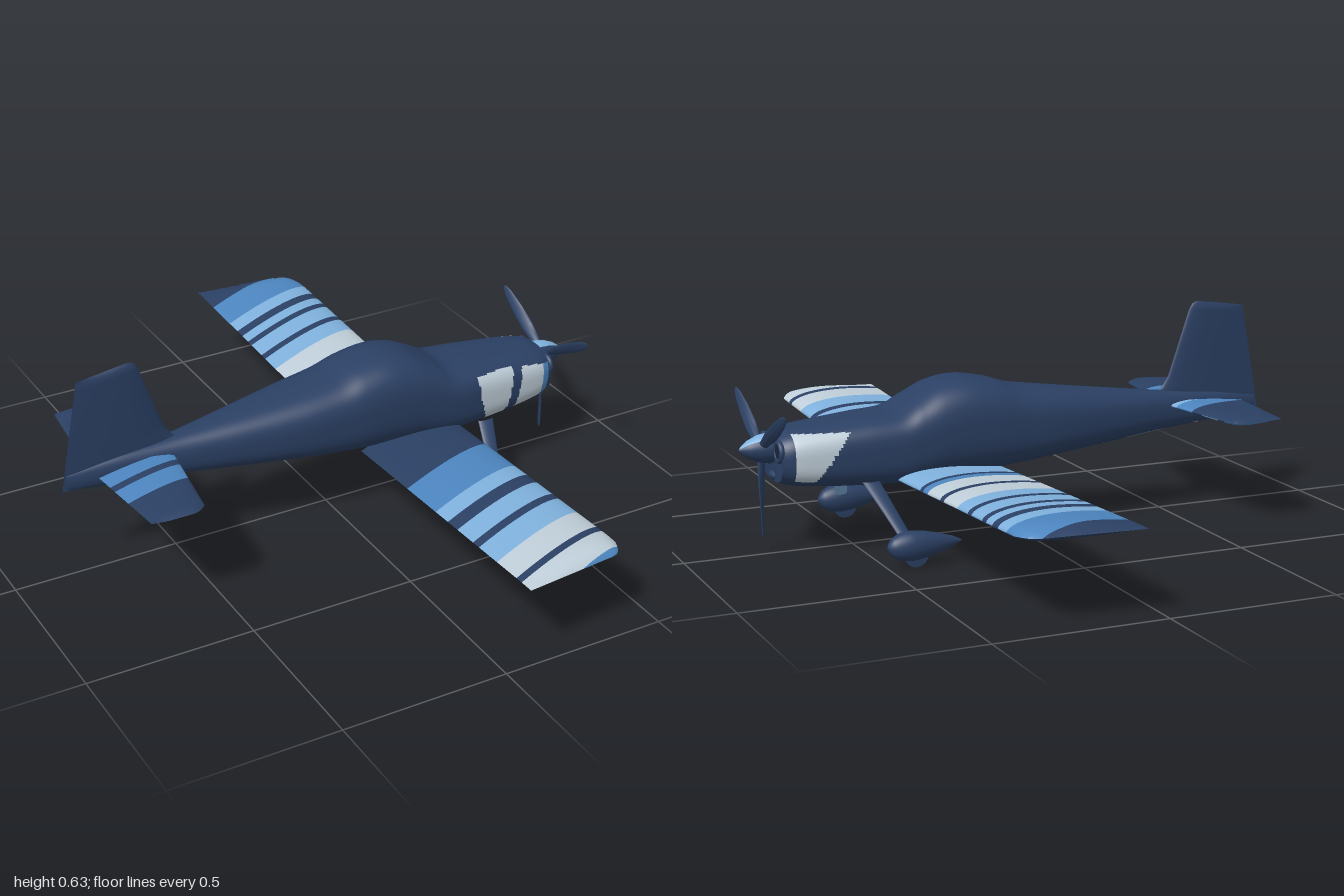
import * as THREE from 'three';

const paint = (name, color) => Object.assign(new THREE.MeshStandardMaterial({ color }), { name });
const NAVY = 0, BLUE = 1, SKY = 2, SILVER = 3;
const mats = [
  paint('navy', 0x2b4064), paint('blue', 0x4d86c0),
  paint('skyBlue', 0x80b2de), paint('silver', 0xc0cfda),
];
const shadowMat = paint('inletShadow', 0x1a2436);
const V = (x, y, z) => new THREE.Vector3(x, y, z);

// Skin rows of points; pick(i, j, centre) gives the colour index of each quad
function loft(name, rows, pick = () => NAVY, flip = false) {
  const n = rows[0].length, index = mats.map(() => []);
  for (let i = 0; i < rows.length - 1; i++) {
    for (let j = 0; j < n - 1; j++) {
      const a = i * n + j, b = a + n, mid = V(0, 0, 0);
      for (const p of [rows[i][j], rows[i + 1][j], rows[i][j + 1], rows[i + 1][j + 1]]) mid.addScaledVector(p, 0.25);
      const q = flip ? [a, b + 1, b, a, a + 1, b + 1] : [a, b, b + 1, a, b + 1, a + 1];
      index[pick(i, j, mid)].push(...q);
    }
  }
  const geo = new THREE.BufferGeometry().setFromPoints(rows.flat());
  geo.setIndex(index.flat());
  let start = 0;
  index.forEach((list, m) => {
    if (list.length) geo.addGroup(start, list.length, m);
    start += list.length;
  });
  geo.computeVertexNormals();
  const mesh = new THREE.Mesh(geo, mats);
  mesh.name = name;
  return mesh;
}

// Closed superellipse ring in the yz plane
function ringYZ(x, y, z, hy, hz, e = 2, n = 32) {
  const f = v => Math.sign(v) * Math.abs(v) ** (2 / e);
  return Array.from({ length: n + 1 }, (_, j) => {
    const a = (j / n) * Math.PI * 2 - Math.PI / 2;
    return V(x, y + hy * f(Math.sin(a)), z + hz * f(Math.cos(a)));
  });
}

// Airfoil thickness, t = 0 at the leading edge
const foil = t => 2.6 * Math.sqrt(t) * (1 - t) + 0.06 * t;
const HALF = 14;
const chordT = j => 1 - Math.cos((Math.abs(j - HALF) / HALF) * Math.PI / 2);

// Wing or tailplane half, cut along slanted colour bands: [outer edge, top, bottom]
function panel(name, side, o) {
  const edges = [], cols = [];
  let prev = o.start;
  for (const [edge, top, bottom] of o.bands) {
    const steps = Math.max(1, Math.ceil((edge - prev) / 0.02));
    for (let s = 0; s < steps; s++) {
      edges.push(prev + (edge - prev) * s / steps);
      cols.push([top, bottom]);
    }
    prev = edge;
  }
  edges.push(prev);
  const rows = edges.map(c => Array.from({ length: 2 * HALF + 1 }, (_, j) => {
    const t = chordT(j);
    let z = Math.max(0, c), x = 0;
    for (let k = 0; k < 4; k++) {
      x = THREE.MathUtils.lerp(o.le(z), o.te(z), t);
      z = Math.max(o.root(x), Math.min(c + o.slant * (x - o.x0), o.tip(x)));
    }
    const round = Math.sqrt(Math.min(1, Math.max(0, (o.tip(x) - z) / o.taper)));
    const h = foil(t) * round * (j < HALF ? o.up : -o.down);
    return V(x, o.y(z) + h, side * z);
  }));
  return loft(name, rows, (i, j) => cols[i][j < HALF ? 0 : 1], side < 0);
}

function fuselage() {
  // x, bottom, top, half width, squareness
  const st = [
    [-0.825, 0.276, 0.325, 0.006, 2], [-0.68, 0.262, 0.35, 0.026, 2.2], [-0.5, 0.248, 0.366, 0.05, 2.4],
    [-0.3, 0.228, 0.39, 0.088, 2.6], [-0.12, 0.211, 0.413, 0.118, 2.8], [0, 0.2, 0.431, 0.13, 2.9],
    [0.08, 0.192, 0.456, 0.137, 2.8], [0.17, 0.186, 0.47, 0.14, 2.7], [0.25, 0.182, 0.457, 0.141, 2.7],
    [0.32, 0.18, 0.422, 0.14, 2.9], [0.38, 0.18, 0.391, 0.139, 3.1], [0.48, 0.184, 0.382, 0.133, 3.1],
    [0.6, 0.191, 0.371, 0.122, 3], [0.69, 0.2, 0.362, 0.11, 2.8], [0.735, 0.212, 0.35, 0.096, 2.6],
  ];
  const a = new THREE.CatmullRomCurve3(st.map(s => V(s[0], s[1], s[2])), false, 'catmullrom', 0.5);
  const b = new THREE.CatmullRomCurve3(st.map(s => V(s[0], s[3], s[4])), false, 'catmullrom', 0.5);
  const rows = [], N = 250, R = 112;
  for (let i = 0; i <= N; i++) {
    const p = a.getPoint(i / N), q = b.getPoint(i / N);
    rows.push(ringYZ(p.x, (p.y + p.z) / 2, 0, (p.z - p.y) / 2, Math.max(q.y, 0.004), q.z, R));
  }
  const end = rows[N];
  rows.push(end.map(p => p.clone()), end.map(() => V(0.737, 0.28, 0)));
  rows.unshift(rows[0].map(() => V(-0.825, 0.3, 0)), rows[0].map(p => p.clone()));
  return loft('fuselage', rows, (i, j, { x, y, z }) => {
    const drop = 0.355 - y;
    // Cowl side patches
    if (y > 0.205 + Math.max(0, x - 0.5) * 0.1 && Math.abs(z) > 0.06) {
      const stripe = x - 0.605 + drop * 0.2;
      const ceiling = 0.357 - Math.max(0, x - 0.56) * 0.18;
      if (z > 0 && y < ceiling && x > 0.455 + drop * drop * 1.6 && x < 0.73 - drop * 0.1) {
        if (Math.abs(stripe) < 0.017) return NAVY;
        return x > 0.707 - drop * 0.1 ? BLUE : SILVER;
      }
      if (z < 0 && drop > 0 && x > 0.54 + drop * 0.75 && x < 0.7) return SILVER;
    }
    // Striped belly
    if (x > -0.62 && x < 0.08 && y < rows[i][0].y + 0.006) {
      return (z + 0.3 * x + 1) % 0.1 < 0.028 ? NAVY : SILVER;
    }
    return NAVY;
  });
}

function fin() {
  // y at the trailing edge, trailing x, leading x, half thickness, rise of the chord
  const st = [
    [0.276, -0.84, -0.5, 0.011, -0.03], [0.35, -0.827, -0.46, 0.012, 0], [0.372, -0.823, -0.5, 0.012, 0],
    [0.41, -0.816, -0.525, 0.012, 0], [0.5, -0.8, -0.56, 0.012, 0.05], [0.585, -0.784, -0.593, 0.011, 0.12],
    [0.602, -0.781, -0.604, 0.008, 0.13], [0.61, -0.78, -0.62, 0, 0.14],
  ];
  return loft('verticalFin', st.map(([y, te, le, h, s]) =>
    Array.from({ length: 2 * HALF + 1 }, (_, j) => {
      const t = chordT(j), x = THREE.MathUtils.lerp(le, te, t);
      return V(x, y + s * (x - te), foil(t) * h * (j < HALF ? 1 : -1));
    })), undefined, true);
}

function propeller() {
  const g = new THREE.Group();
  g.name = 'propeller';
  // radius, half chord, half thickness, twist
  const st = [[0.01, 0.012, 0.011, -0.9], [0.05, 0.014, 0.009, -0.85], [0.1, 0.019, 0.006, -0.7],
    [0.17, 0.019, 0.004, -0.5], [0.235, 0.014, 0.003, -0.35], [0.258, 0.008, 0.002, -0.3], [0.265, 0, 0, -0.3]];
  for (let k = 0; k < 3; k++) {
    const blade = loft('propellerBlade', st.map(([r, c, h, tw]) => Array.from({ length: 17 }, (_, j) => {
      const a = j / 16 * Math.PI * 2, u = h * Math.cos(a), w = c * Math.sin(a);
      return V(u * Math.cos(tw) - w * Math.sin(tw), r, u * Math.sin(tw) + w * Math.cos(tw));
    })));
    blade.rotation.x = Math.PI + k * Math.PI * 2 / 3;
    g.add(blade);
  }
  // Spinner with a light wedge on top
  const spin = [[0, 0.725], [0.042, 0.728], [0.044, 0.745], [0.039, 0.775], [0.026, 0.805], [0.01, 0.826], [0, 0.832]];
  g.add(loft('spinner', spin.map(([r, x]) => ringYZ(x - 0.768, 0, 0, r, r)),
    (i, j) => (j >= 13 && j < 20 ? SKY : NAVY)));
  g.position.set(0.768, 0.307, 0);
  return g;
}

function landingGear(side) {
  const g = new THREE.Group();
  g.name = side > 0 ? 'leftLandingGear' : 'rightLandingGear';
  const pant = [[0.28, 0.002], [0.31, 0.016], [0.35, 0.028], [0.39, 0.038], [0.43, 0.043],
    [0.465, 0.039], [0.487, 0.027], [0.498, 0.013], [0.502, 0]];
  g.add(loft('wheelFairing', pant.map(([x, r]) => ringYZ(x, 0.06, side * 0.29, r, r * 0.86))));
  const wheel = new THREE.Mesh(new THREE.CylinderGeometry(0.036, 0.036, 0.026, 28).rotateX(Math.PI / 2), mats[NAVY]);
  wheel.name = 'wheel';
  wheel.position.set(0.42, 0.036, side * 0.29);
  g.add(wheel);
  // Leg from belly to fairing
  const path = [[0.485, 0.21, 0.12, 0.026], [0.46, 0.14, 0.2, 0.021], [0.435, 0.07, 0.275, 0.018]];
  g.add(loft('gearLeg', path.map(([x, y, z, w]) => Array.from({ length: 17 }, (_, j) => {
    const a = j / 16 * Math.PI * 2;
    return V(x + w * Math.cos(a), y, side * z + 0.01 * Math.sin(a));
  })), (i, j) => (side > 0 && j >= 8 ? SKY : NAVY), true));
  return g;
}

export function createModel() {
  const model = new THREE.Group();
  model.name = 'lightAircraft';
  model.add(fuselage(), fin(), propeller());

  // Wings
  const wing = {
    le: () => 0.4, te: () => 0.065, root: () => 0, x0: 0.065, taper: 0.05, up: 0.026, down: 0.017,
    y: z => 0.198 + 0.048 * z,
    tip: x => 1 - 0.11 * (x - 0.065) - 0.055 * Math.max(0, (x - 0.35) / 0.05) ** 2.5,
  };
  model.add(panel('leftWing', 1, { ...wing, slant: -0.3, start: 0.1, bands: [
    [0.21, NAVY, SILVER], [0.24, NAVY, NAVY], [0.34, NAVY, SILVER], [0.365, NAVY, NAVY], [0.46, BLUE, SILVER],
    [0.485, BLUE, NAVY], [0.52, BLUE, SILVER], [0.585, SKY, SILVER], [0.635, NAVY, NAVY], [0.715, SKY, SILVER],
    [0.745, NAVY, NAVY], [0.835, SKY, SILVER], [0.93, SILVER, SILVER], [0.955, NAVY, NAVY],
    [1.035, SILVER, SILVER], [1.12, BLUE, BLUE]] }));
  model.add(panel('rightWing', -1, { ...wing, slant: 0.3, start: 0, bands: [
    [0.18, SKY, NAVY], [0.2, NAVY, NAVY], [0.235, BLUE, NAVY], [0.325, SILVER, NAVY], [0.35, NAVY, NAVY],
    [0.445, SILVER, NAVY], [0.515, SKY, NAVY], [0.54, NAVY, NAVY], [0.61, SKY, NAVY], [0.635, NAVY, NAVY],
    [0.675, SKY, NAVY], [0.71, NAVY, NAVY], [0.765, SKY, NAVY], [0.885, BLUE, NAVY], [1.02, NAVY, NAVY]] }));

  // Tailplanes
  const tail = {
    le: z => -0.505 - 0.15 * z, te: z => -0.755 + 0.1 * z, x0: -0.75, taper: 0.02, up: 0.011, down: 0.011,
    y: () => 0.325, root: x => 0.055 - 0.12 * (x + 0.75),
    tip: x => 0.348 - 0.5 * Math.max(0, -0.66 - x) ** 1.5 - 0.03 * Math.max(0, (x + 0.6) / 0.05) ** 2,
  };
  model.add(panel('leftTailplane', 1, { ...tail, slant: -0.2, start: 0, bands: [
    [0.118, BLUE, BLUE], [0.145, NAVY, NAVY], [0.22, BLUE, BLUE], [0.42, NAVY, NAVY]] }));
  model.add(panel('rightTailplane', -1, { ...tail, slant: 0.4, start: -0.1, bands: [
    [-0.02, SKY, SKY], [0.06, BLUE, BLUE], [0.11, NAVY, NAVY], [0.19, NAVY, SKY], [0.22, NAVY, NAVY],
    [0.4, NAVY, BLUE]] }));

  // Chin scoop, landing gear and cowl inlets
  const scoop = new THREE.Mesh(new THREE.SphereGeometry(1, 32, 20), mats[NAVY]);
  scoop.name = 'chinScoop';
  scoop.position.set(0.66, 0.228, 0);
  scoop.scale.set(0.085, 0.03, 0.055);
  model.add(scoop);
  for (const side of [1, -1]) {
    model.add(landingGear(side));
    const lip = new THREE.Mesh(new THREE.TorusGeometry(0.026, 0.008, 10, 28).rotateY(Math.PI / 2), mats[NAVY]);
    lip.name = 'inletLip';
    lip.position.set(0.736, 0.308, side * 0.066);
    const hole = new THREE.Mesh(new THREE.CircleGeometry(0.026, 28).rotateY(Math.PI / 2), shadowMat);
    hole.name = 'airInlet';
    hole.position.set(0.741, 0.308, side * 0.066);
    model.add(lip, hole);
  }
  return model;
}
